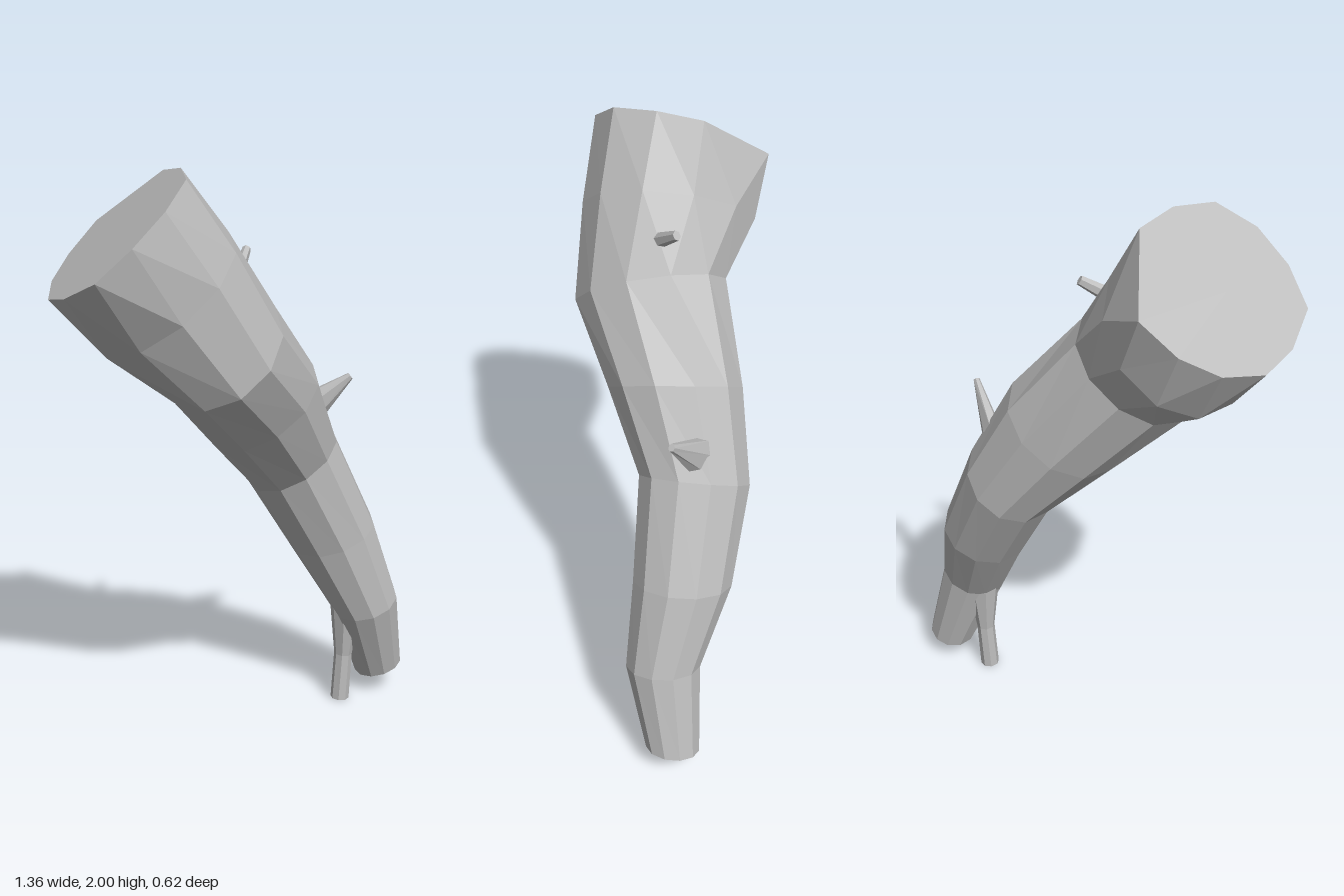
import * as THREE from 'three';

const V = (a) => new THREE.Vector3(...a);

// Closed, faceted skin over rings of points listed from base to tip
function loft(name, rings, material) {
  const pos = [];
  const tri = (...pts) => pts.forEach((p) => pos.push(p.x, p.y, p.z));
  const n = rings[0].length;
  const middle = (ring) => ring.reduce((s, p) => s.add(p), new THREE.Vector3()).divideScalar(n);
  const first = rings[0], last = rings[rings.length - 1];
  const base = middle(first), tip = middle(last);
  for (let j = 0; j < n; j++) {
    const k = (j + 1) % n;
    for (let i = 0; i < rings.length - 1; i++) {
      const a = rings[i][j], b = rings[i][k], c = rings[i + 1][k], d = rings[i + 1][j];
      tri(a, d, c);
      tri(a, c, b);
    }
    tri(base, first[j], first[k]);
    tri(tip, last[k], last[j]);
  }
  const geo = new THREE.BufferGeometry();
  geo.setAttribute('position', new THREE.Float32BufferAttribute(pos, 3));
  geo.computeVertexNormals();
  const mesh = new THREE.Mesh(geo, material);
  mesh.name = name;
  return mesh;
}

// Elliptical ring around c with half-axes u and v
function ellipse(c, u, v, n, phase = 0) {
  return Array.from({ length: n }, (_, j) => {
    const t = phase + (j / n) * Math.PI * 2;
    return c.clone().addScaledVector(u, Math.cos(t)).addScaledVector(v, Math.sin(t));
  });
}

// Tapered twig: path points, wide half-axis direction, [width, thickness] per point
function twig(name, path, wide, sizes, n, material) {
  const pts = path.map(V);
  const axis = pts[pts.length - 1].clone().sub(pts[0]).normalize();
  const u = V(wide);
  u.addScaledVector(axis, -u.dot(axis)).normalize();
  const v = u.clone().cross(axis);
  const rings = pts.map((p, i) =>
    ellipse(p, u.clone().multiplyScalar(sizes[i][0]), v.clone().multiplyScalar(sizes[i][1]), n));
  return loft(name, rings, material);
}

export function createModel() {
  const group = new THREE.Group();
  group.name = 'brokenBranch';
  const bark = new THREE.MeshStandardMaterial({ color: 0xbcbcbc });
  bark.name = 'greyBark';

  // Trunk sections: left x, y, right x, y, front z, back z, front-to-back slant
  const sides = 11;
  const sections = [
    [0.52, 0.065, 0.68, 0.115, 0.08, -0.10, 0.01],
    [0.39, 0.35, 0.61, 0.43, 0.145, -0.10, 0],
    [0.25, 0.61, 0.53, 0.72, 0.12, -0.20, 0.01],
    [0.10, 0.87, 0.37, 1.06, 0.10, -0.255, 0.02],
    [-0.11, 1.08, 0.23, 1.33, 0.20, -0.23, 0],
    [-0.32, 1.29, 0.01, 1.58, 0.31, -0.175, -0.04],
    [-0.52, 1.45, -0.13, 1.80, 0.285, -0.27, 0.03],
  ];
  const rings = sections.map(([lx, ly, rx, ry, zf, zb, slant]) => ellipse(
    new THREE.Vector3((lx + rx) / 2, (ly + ry) / 2, (zf + zb) / 2),
    new THREE.Vector3((rx - lx) / 2, (ry - ly) / 2, 0).multiplyScalar(1.02),
    new THREE.Vector3(0, slant, (zf - zb) / 2).multiplyScalar(1.01),
    sides, -0.28));

  // Slanted cut at the thick end
  const cut = [
    [-0.25, -0.10], [-0.275, 0.045], [-0.34, 0.18], [-0.45, 0.245], [-0.56, 0.245], [-0.655, 0.195],
    [-0.68, 0.05], [-0.665, -0.085], [-0.59, -0.21], [-0.49, -0.285], [-0.375, -0.31],
  ];
  rings.push(cut.map(([x, z]) => new THREE.Vector3(x, 2 + 0.86 * (x + 0.275) + 0.29 * (z - 0.045), z)));
  group.add(loft('trunk', rings, bark));

  // Side shoot hanging beside the thin end
  group.add(twig('sideShoot',
    [[0.424, 0, -0.015], [0.435, 0.18, -0.015], [0.44, 0.38, -0.01]],
    [1, 0, 0], [[0.034, 0.034], [0.032, 0.034], [0.058, 0.06]], 8, bark));

  // Snapped twigs on the outer bend
  group.add(twig('largeTwig',
    [[0.295, 1.11, -0.10], [0.428, 1.247, -0.005]],
    [0.45, -0.8, 0.35], [[0.068, 0.035], [0.013, 0.011]], 7, bark));
  group.add(twig('smallTwig',
    [[-0.07, 1.665, 0.045], [0.004, 1.725, -0.018]],
    [0, 1, 0], [[0.026, 0.018], [0.016, 0.014]], 6, bark));

  return group;
}
